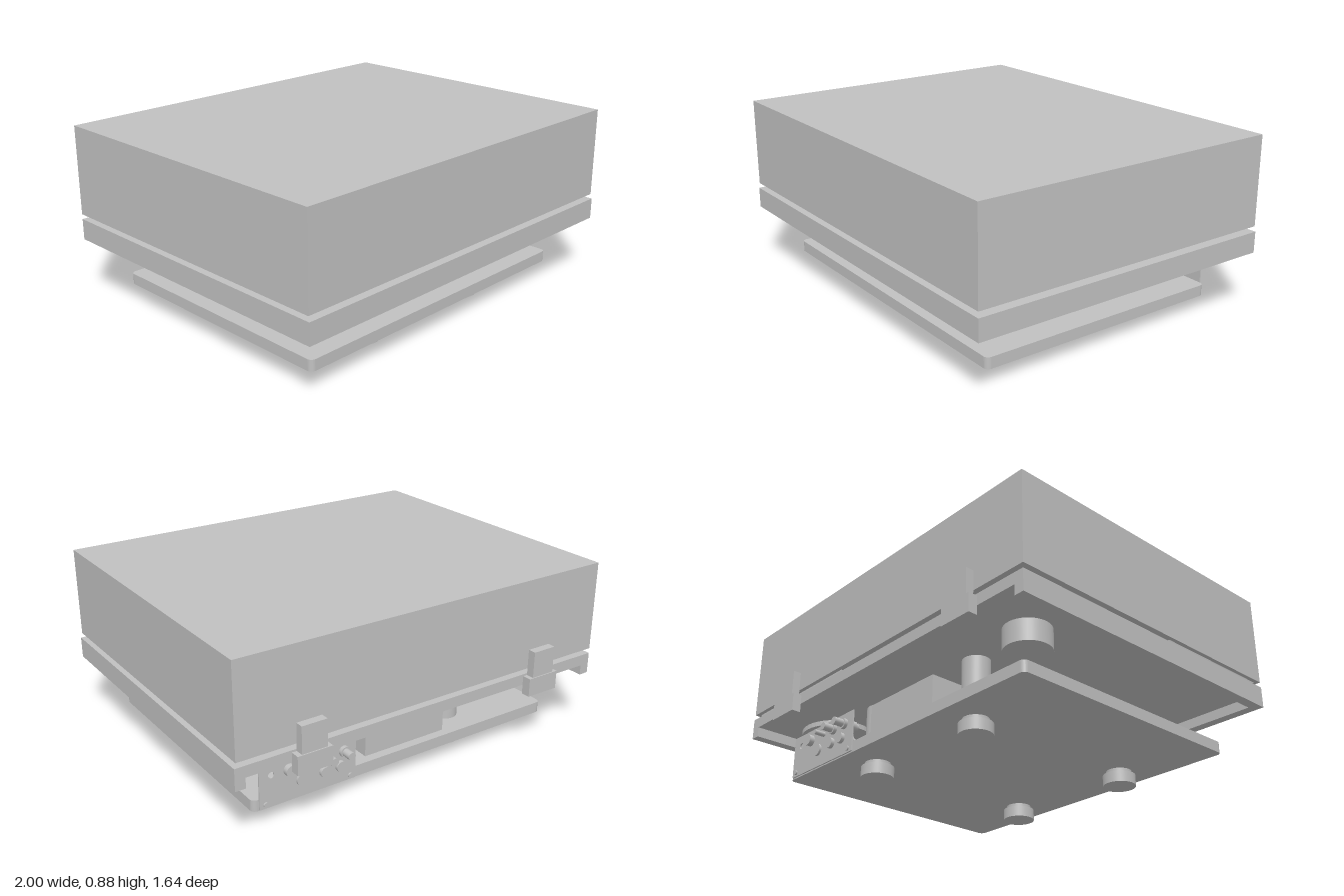
import * as THREE from 'three';

export function createModel() {
  const model = new THREE.Group();
  const grey = new THREE.MeshStandardMaterial({ color: 0xc0c0c0 });
  grey.name = 'silver grey';

  const add = (name, geo, parent = model) => {
    const mesh = new THREE.Mesh(geo, grey);
    mesh.name = name;
    parent.add(mesh);
    return mesh;
  };
  // Box given by its limits on each axis
  const box = (name, x0, x1, y0, y1, z0, z1, parent) =>
    add(name, new THREE.BoxGeometry(x1 - x0, y1 - y0, z1 - z0), parent)
      .position.set((x0 + x1) / 2, (y0 + y1) / 2, (z0 + z1) / 2);
  // Upright cylinder between two heights
  const disc = (name, x, z, r, y0, y1, parent) =>
    add(name, new THREE.CylinderGeometry(r, r, y1 - y0, 40), parent).position.set(x, (y0 + y1) / 2, z);
  const group = (name) => {
    const g = new THREE.Group();
    g.name = name;
    model.add(g);
    return g;
  };

  // Dust cover: hollow, open underneath
  const cover = group('dustCover');
  const t = 0.02;
  box('coverTop', -1, 0.993, 0.885 - t, 0.885, -0.775, 0.815, cover);
  box('coverFront', -1, 0.993, 0.44, 0.885 - t, 0.815 - t, 0.815, cover);
  box('coverBack', -1, 0.993, 0.44, 0.885 - t, -0.775, -0.775 + t, cover);
  box('coverRight', -1, -1 + t, 0.44, 0.885 - t, -0.775 + t, 0.815 - t, cover);
  box('coverLeft', 0.993 - t, 0.993, 0.44, 0.885 - t, -0.775 + t, 0.815 - t, cover);

  // Plinth: top board over a skirt, with the back left open at the bottom
  const plinth = group('plinth');
  box('plinthTop', -1, 1, 0.36, 0.415, -0.775, 0.82, plinth);
  box('frontSkirt', -1, 1, 0.31, 0.36, 0.77, 0.82, plinth);
  for (const s of [-1, 1]) {
    box('sideSkirt', Math.min(s, s * 0.95), Math.max(s, s * 0.95), 0.31, 0.36, -0.775, 0.77, plinth);
  }

  // Hinges
  for (const x of [-0.645, 0.645]) {
    const hinge = group('hinge');
    box('hingeBase', x - 0.087, x + 0.087, 0.315, 0.405, -0.82, -0.775, hinge);
    box('hingeLeaf', x - 0.063, x + 0.063, 0.405, 0.535, -0.815, -0.775, hinge);
  }

  // Base board with slightly rounded corners
  const w = 0.8425, d = 0.645, r = 0.025;
  const outline = new THREE.Shape();
  [[w, d, 0], [-w, d, 1], [-w, -d, 2], [w, -d, 3]].forEach(([x, z, i]) =>
    outline.absarc(x - Math.sign(x) * r, z - Math.sign(z) * r, r, i * Math.PI / 2, (i + 1) * Math.PI / 2));
  const board = add('baseBoard', new THREE.ExtrudeGeometry(outline,
    { depth: 0.055, bevelEnabled: false, curveSegments: 6 }).rotateX(-Math.PI / 2));
  board.position.set(-0.0025, 0.075, 0.02);

  // Pillars and feet
  for (const x of [-0.357, 0.353]) for (const z of [0.492, -0.445]) {
    const leg = group('leg');
    disc('pillar', x, z, 0.066, 0.13, 0.36, leg);
    disc('footNeck', x, z, 0.063, 0.055, 0.075, leg);
    disc('foot', x, z, 0.08, 0, 0.055, leg);
  }

  // Platter and its stepped bearing
  const platter = group('platter');
  const px = -0.115, pz = 0.075;
  disc('platterHub', px, pz, 0.02, 0.415, 0.425, platter);
  disc('subPlatter', px, pz, 0.155, 0.424, 0.45, platter);
  disc('platterDisc', px, pz, 0.6, 0.45, 0.52, platter);
  disc('spindle', px, pz, 0.012, 0.52, 0.56, platter);
  const bearing = group('bearing');
  disc('bearingFlange', px, pz, 0.14, 0.29, 0.36, bearing);
  disc('bearingStep', px, pz, 0.103, 0.25, 0.29, bearing);
  disc('bearingCap', px, pz, 0.067, 0.22, 0.25, bearing);

  // Motor and pulley
  const motor = group('motor');
  disc('motorBody', -0.72, -0.48, 0.11, 0.255, 0.36, motor);
  disc('motorPulley', -0.66, -0.48, 0.072, 0.415, 0.448, motor);

  // Tonearm with its mounting ring under the plinth
  const arm = group('tonearm');
  disc('armBase', 0.76, -0.4, 0.095, 0.415, 0.47, arm);
  disc('armPost', 0.76, -0.4, 0.03, 0.47, 0.59, arm);
  disc('armRest', 0.6, -0.19, 0.018, 0.415, 0.5, arm);
  const path = new THREE.LineCurve3(new THREE.Vector3(0.78, 0.58, -0.52), new THREE.Vector3(0.42, 0.58, 0.45));
  add('armTube', new THREE.TubeGeometry(path, 1, 0.012, 12), arm);
  box('headshell', 0.375, 0.445, 0.555, 0.585, 0.42, 0.53, arm);
  const ring = [[0.15, 0.36], [0.15, 0.335], [0.185, 0.335], [0.185, 0.36]]
    .map(([x, y]) => new THREE.Vector2(x, y));
  add('mountRing', new THREE.LatheGeometry(ring, 40).toNonIndexed(), arm).position.set(0.75, 0, -0.42);
  arm.children.at(-1).geometry.computeVertexNormals();
  disc('mountHub', 0.75, -0.42, 0.08, 0.34, 0.36, arm);

  // Power supply box on small pads
  const supply = group('powerSupply');
  box('supplyCase', -0.23, 0.225, 0.137, 0.295, -0.59, -0.065, supply);
  for (const x of [-0.175, 0.17]) for (const z of [-0.54, -0.115]) disc('supplyPad', x, z, 0.025, 0.13, 0.137, supply);

  // Connector panel with an open hole and a row of sockets
  const panel = group('connectorPanel');
  const plate = new THREE.Shape();
  plate.moveTo(0.31, 0.08).lineTo(0.81, 0.08).lineTo(0.81, 0.29).lineTo(0.31, 0.29).closePath();
  const hole = new THREE.Path();
  hole.absarc(0.75, 0.235, 0.015, 0, Math.PI * 2, true);
  plate.holes.push(hole);
  add('panelPlate', new THREE.ExtrudeGeometry(plate, { depth: 0.007, bevelEnabled: false }), panel)
    .position.z = -0.634;
  const plug = (name, x, y, rad, z0, z1) => {
    const m = add(name, new THREE.CylinderGeometry(rad, rad, z1 - z0, 24).rotateX(Math.PI / 2), panel);
    m.position.set(x, y, (z0 + z1) / 2);
  };
  for (const [x, y] of [[0.375, 0.235], [0.465, 0.235], [0.395, 0.167], [0.48, 0.167]]) {
    plug('socketCollar', x, y, 0.026, -0.652, -0.58);
    plug('socketPin', x, y, 0.019, y > 0.2 ? -0.7 : -0.645, -0.565);
  }
  plug('earthPost', 0.55, 0.235, 0.012, -0.69, -0.57);
  plug('largeSocket', 0.66, 0.235, 0.028, -0.66, -0.56);
  plug('lowerSocket', 0.595, 0.167, 0.03, -0.645, -0.555);
  for (const x of [0.34, 0.78]) plug('panelScrew', x, 0.1, 0.012, -0.642, -0.63);

  return model;
}
